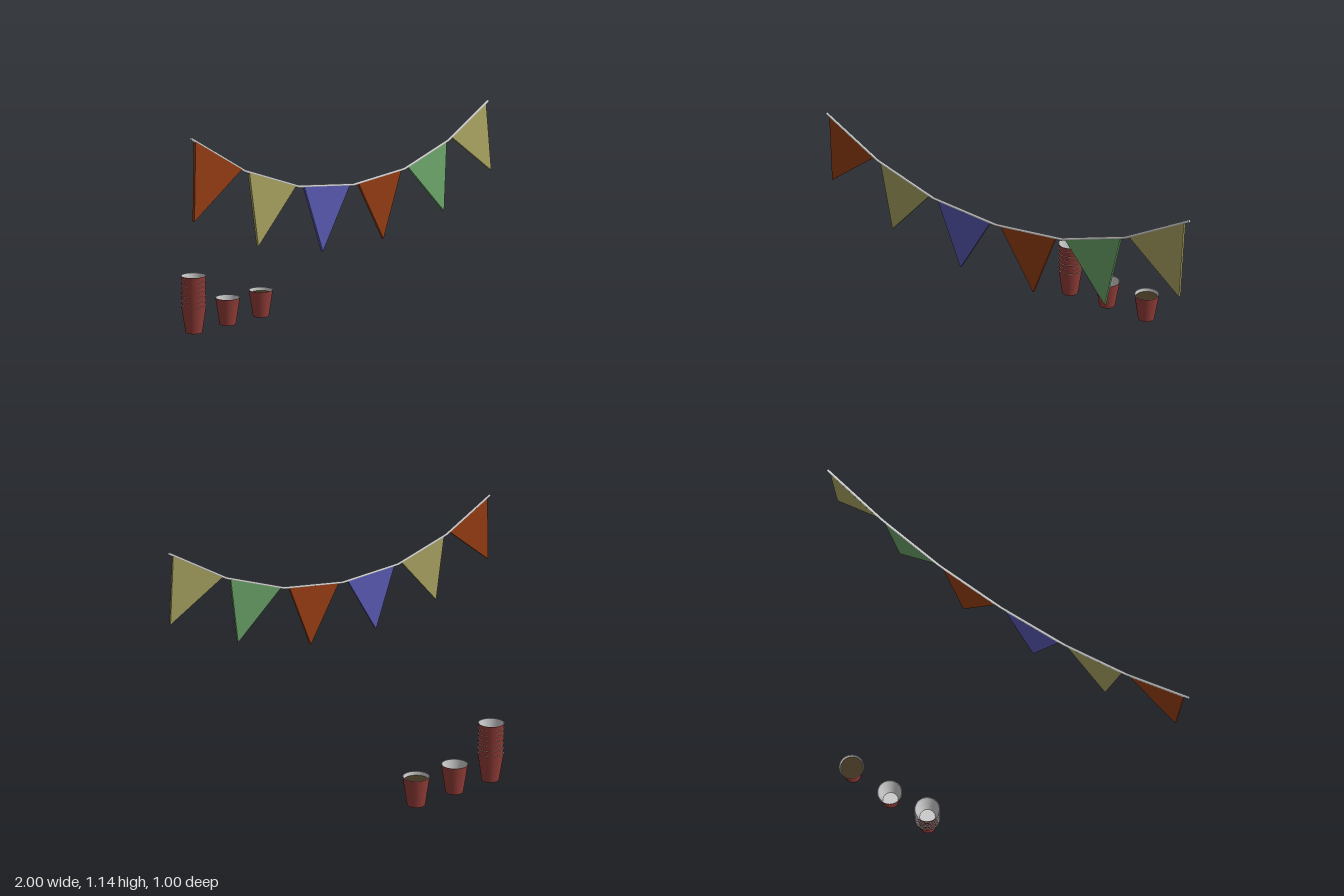
import * as THREE from 'three';

const mat = (color, side = THREE.FrontSide) => new THREE.MeshStandardMaterial({ color, side });
const grey = mat(0xcccccc);
const brown = mat(0x943c12), olive = mat(0xa8a260), blue = mat(0x5959b2), green = mat(0x6aa368);
const cupRed = mat(0x943e39), drinkBrown = mat(0x403320);

const add = (parent, name, geometry, material) => {
  const mesh = new THREE.Mesh(geometry, material);
  mesh.name = name;
  parent.add(mesh);
  return mesh;
};

// Cup: red tapered wall, grey rim, lining, floor and base
const H = 0.14, R_TOP = 0.063, R_BASE = 0.042, WALL = 0.003, SEG = 32;
const v = (x, y) => new THREE.Vector2(x, y);
const wallGeo = new THREE.CylinderGeometry(R_TOP, R_BASE, H, SEG, 1, true).translate(0, H / 2, 0);
const liningGeo = new THREE.CylinderGeometry(R_TOP - WALL, R_BASE - WALL, H - 0.005, SEG, 1, true)
  .translate(0, (H + 0.005) / 2, 0);
const rimGeo = new THREE.RingGeometry(R_TOP - WALL, R_TOP, SEG).rotateX(-Math.PI / 2).translate(0, H, 0);
const floorGeo = new THREE.CircleGeometry(R_BASE - WALL, SEG).rotateX(-Math.PI / 2).translate(0, 0.005, 0);
const baseGeo = new THREE.CircleGeometry(R_BASE, SEG).rotateX(Math.PI / 2);
const liningMat = mat(0xcccccc, THREE.BackSide);

function makeCup(name, x, y) {
  const cup = new THREE.Group();
  cup.name = name;
  add(cup, 'cupWall', wallGeo, cupRed);
  add(cup, 'cupLining', liningGeo, liningMat);
  add(cup, 'cupRim', rimGeo, grey);
  add(cup, 'cupFloor', floorGeo, grey);
  add(cup, 'cupBase', baseGeo, grey);
  cup.position.set(x, y, -0.436);
  return cup;
}

// Pennant: isosceles triangle hanging from the middle of its top edge
const FLAG_W = 0.3, FLAG_H = 0.298, FLAG_T = 0.012;
const flagGeo = new THREE.ExtrudeGeometry(
  new THREE.Shape([v(-FLAG_W / 2, 0), v(0, -FLAG_H), v(FLAG_W / 2, 0)]),
  { depth: FLAG_T, bevelEnabled: false }
).translate(0, 0, -FLAG_T / 2);

export function createModel() {
  const model = new THREE.Group();
  model.name = 'partyDecorations';

  // Bunting: straight string pieces with one pennant each
  const bunting = new THREE.Group();
  bunting.name = 'bunting';
  bunting.position.z = 0.457;
  model.add(bunting);
  const knots = [[-0.997, 1.138], [-0.69, 0.97], [-0.36, 0.864], [0, 0.83],
    [0.36, 0.864], [0.69, 0.97], [0.997, 1.138]];
  const colours = [brown, olive, blue, brown, green, olive];
  const tilts = [0, 0, 0, 0, 0.115, 0.115];
  colours.forEach((colour, i) => {
    const [ax, ay] = knots[i], [bx, by] = knots[i + 1];
    const piece = new THREE.Group();
    piece.name = 'buntingPiece';
    piece.position.set((ax + bx) / 2, (ay + by) / 2, 0);
    piece.rotation.z = Math.atan2(by - ay, bx - ax);
    const length = Math.hypot(bx - ax, by - ay) + 0.002;
    add(piece, 'string', new THREE.CylinderGeometry(0.0065, 0.0065, length, 12).rotateZ(Math.PI / 2), grey);
    const flag = add(piece, 'pennant', flagGeo, colour);
    flag.position.y = -0.002;
    flag.rotation.x = -tilts[i];
    bunting.add(piece);
  });

  // Stack of seven nested cups
  const stack = new THREE.Group();
  stack.name = 'cupStack';
  for (let i = 0; i < 7; i++) stack.add(makeCup('stackedCup', -0.192, i * 0.0252));
  model.add(stack);

  // Empty cup and filled cup
  model.add(makeCup('emptyCup', 0.04, 0));
  const full = makeCup('filledCup', 0.277, 0);
  const level = 0.122;
  const r = R_BASE - WALL + (R_TOP - R_BASE) * (level - 0.005) / (H - 0.005);
  add(full, 'drink', new THREE.CircleGeometry(r, SEG).rotateX(-Math.PI / 2).translate(0, level, 0), drinkBrown);
  model.add(full);

  return model;
}
